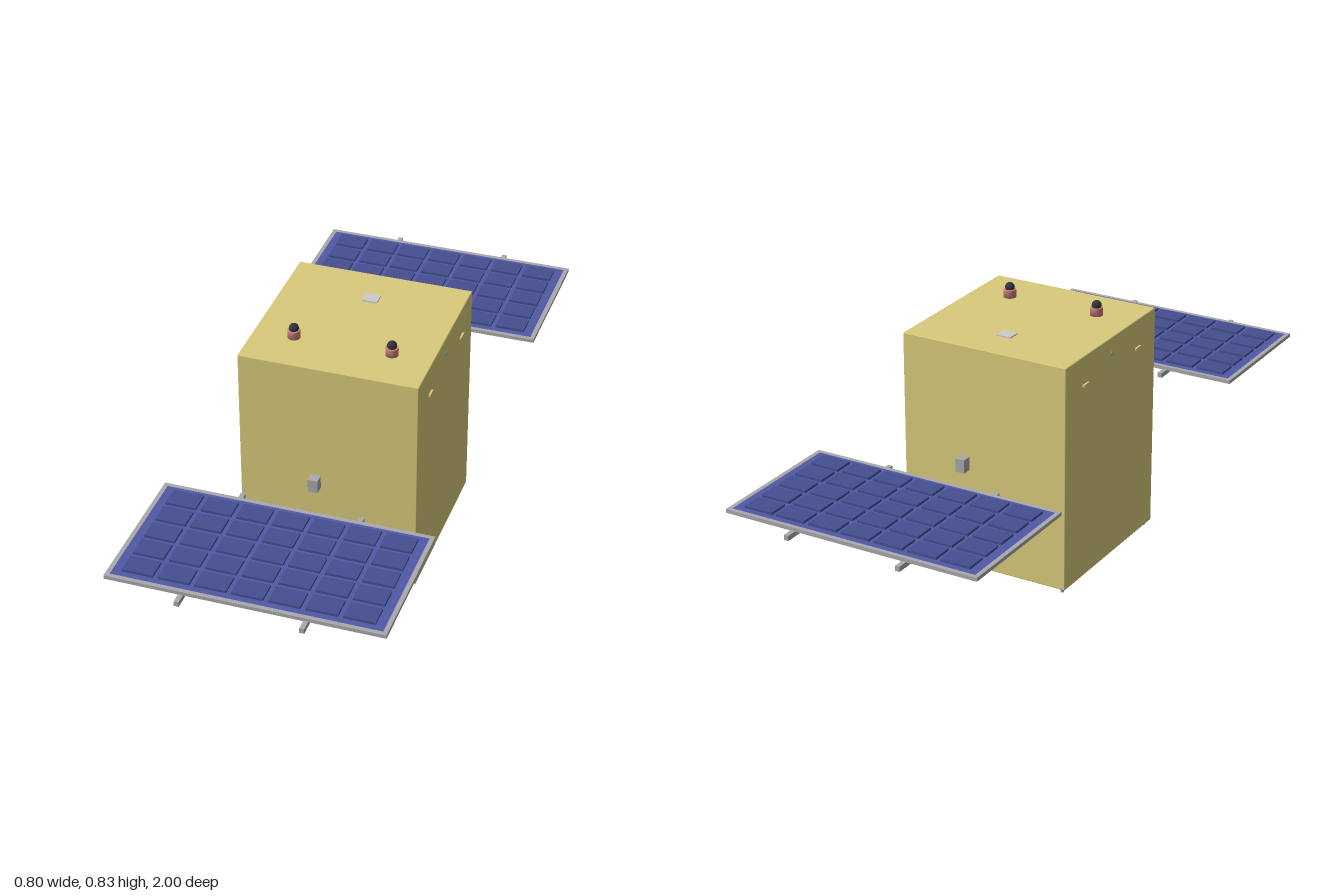
import * as THREE from 'three';
import { RoundedBoxGeometry } from 'three/addons/geometries/RoundedBoxGeometry.js';

const mat = (color) => new THREE.MeshStandardMaterial({ color });
const grey = mat(0xaaaaae), white = mat(0xd8dadc), foil = mat(0xd9cb7b), blue = mat(0x505aa6),
  cellBlue = mat(0x454f90), steel = mat(0x8fbfdc), pink = mat(0xcf8080), dark = mat(0x33333f);

function add(parent, name, geometry, material, x = 0, y = 0, z = 0) {
  const mesh = new THREE.Mesh(geometry, material);
  mesh.name = name;
  mesh.position.set(x, y, z);
  parent.add(mesh);
  return mesh;
}
const box = (w, h, d) => new THREE.BoxGeometry(w, h, d);
const lathe = (pts, n) => new THREE.LatheGeometry(pts.map(([r, y]) => new THREE.Vector2(r, y)), n);

// Solar panel centred on its own origin, lying flat with cells on top
function solarPanel() {
  const g = new THREE.Group();
  g.name = 'solarPanel';
  const W = 0.8, D = 0.444, rim = 0.013;
  const rect = (T, w, d) => new T([[-w, -d], [w, -d], [w, d], [-w, d]].map(([x, y]) => new THREE.Vector2(x / 2, y / 2)));
  const shape = rect(THREE.Shape, W, D);
  shape.holes.push(rect(THREE.Path, W - 2 * rim, D - 2 * rim));
  const frame = new THREE.ExtrudeGeometry(shape, { depth: 0.011, bevelEnabled: false });
  frame.rotateX(-Math.PI / 2);
  add(g, 'panelFrame', frame, grey, 0, 0.468, 0);
  add(g, 'panelSheet', box(W - 2 * rim, 0.01, D - 2 * rim), blue, 0, 0.4735, 0);
  add(g, 'panelBacking', box(W - 0.006, 0.002, D - 0.006), blue, 0, 0.4675, 0);
  // cell grid
  for (let i = -3; i <= 3; i++)
    for (let j = -2; j <= 2; j++)
      add(g, 'solarCell', box(0.09, 0.008, 0.063), cellBlue, i * 0.105, 0.482, j * 0.079);
  // support rails underneath
  for (const s of [-1, 1]) add(g, 'supportRail', box(0.014, 0.015, 0.51), grey, s * 0.177, 0.462, 0);
  return g;
}

export function createModel() {
  const model = new THREE.Group();
  model.name = 'satellite';

  add(model, 'body', new RoundedBoxGeometry(0.538, 0.697, 0.538, 1, 0.003), foil, 0, 0.4315, 0);

  for (const s of [-1, 1]) {
    // solar wings and their separate drive blocks
    const panel = solarPanel();
    panel.position.z = s * 0.744;
    model.add(panel);
    add(model, 'driveBlock', box(0.029, 0.041, 0.029), grey, 0, 0.4725, s * 0.387);

    // roof antennas
    add(model, 'antennaBase', lathe([[0, 0.776], [0.019, 0.776], [0.019, 0.801], [0.019, 0.801],
      [0.0185, 0.805], [0.0185, 0.805], [0, 0.805]], 20), pink, s * 0.147, 0, 0.13);
    add(model, 'antennaDome', new THREE.SphereGeometry(0.0145, 20, 14), dark, s * 0.147, 0.811, 0.13);

    // side sensor and small rails
    add(model, 'sideSensor', new THREE.SphereGeometry(0.0085, 16, 10), grey, s * 0.2645, 0.73, 0);
    for (const t of [-1, 1]) {
      add(model, 'sideRail', box(0.012, 0.007, 0.03), foil, s * 0.269, 0.692, t * 0.157);
      add(model, 'foot', new THREE.CylinderGeometry(0.0075, 0.005, 0.018, 12), steel, s * 0.252, 0.077, t * 0.252);
    }

    // underside equipment
    add(model, 'equipmentBox', box(0.188, 0.023, 0.134), grey, s * 0.114, 0.0605, 0);
    add(model, 'thruster', new THREE.CylinderGeometry(0.0135, 0.0135, 0.027, 20), steel, s * 0.095, 0.0715, 0.095);
  }

  add(model, 'roofPlate', box(0.046, 0.008, 0.042), white, 0, 0.78, -0.135);
  add(model, 'basePlate', box(0.428, 0.012, 0.142), white, 0, 0.078, 0);

  // main engine: stem, throat and bell with a hollow mouth
  add(model, 'engineStem', new THREE.CylinderGeometry(0.018, 0.018, 0.04, 20), steel, 0, 0.064, 0.05);
  add(model, 'engineThroat', new THREE.CylinderGeometry(0.034, 0.028, 0.03, 20), steel, 0, 0.036, 0);
  const bell = lathe([[0, 0.006], [0.034, 0.004], [0.039, 0], [0.046, 0.021], [0.03, 0.022], [0, 0.022]], 20).toNonIndexed();
  bell.computeVertexNormals();
  const bellMaterial = mat(0x8fbfdc);
  bellMaterial.side = THREE.DoubleSide;
  add(model, 'engineBell', bell, bellMaterial);
  add(model, 'igniterRod', box(0.01, 0.038, 0.01), grey, 0.052, 0.032, 0);

  return model;
}
